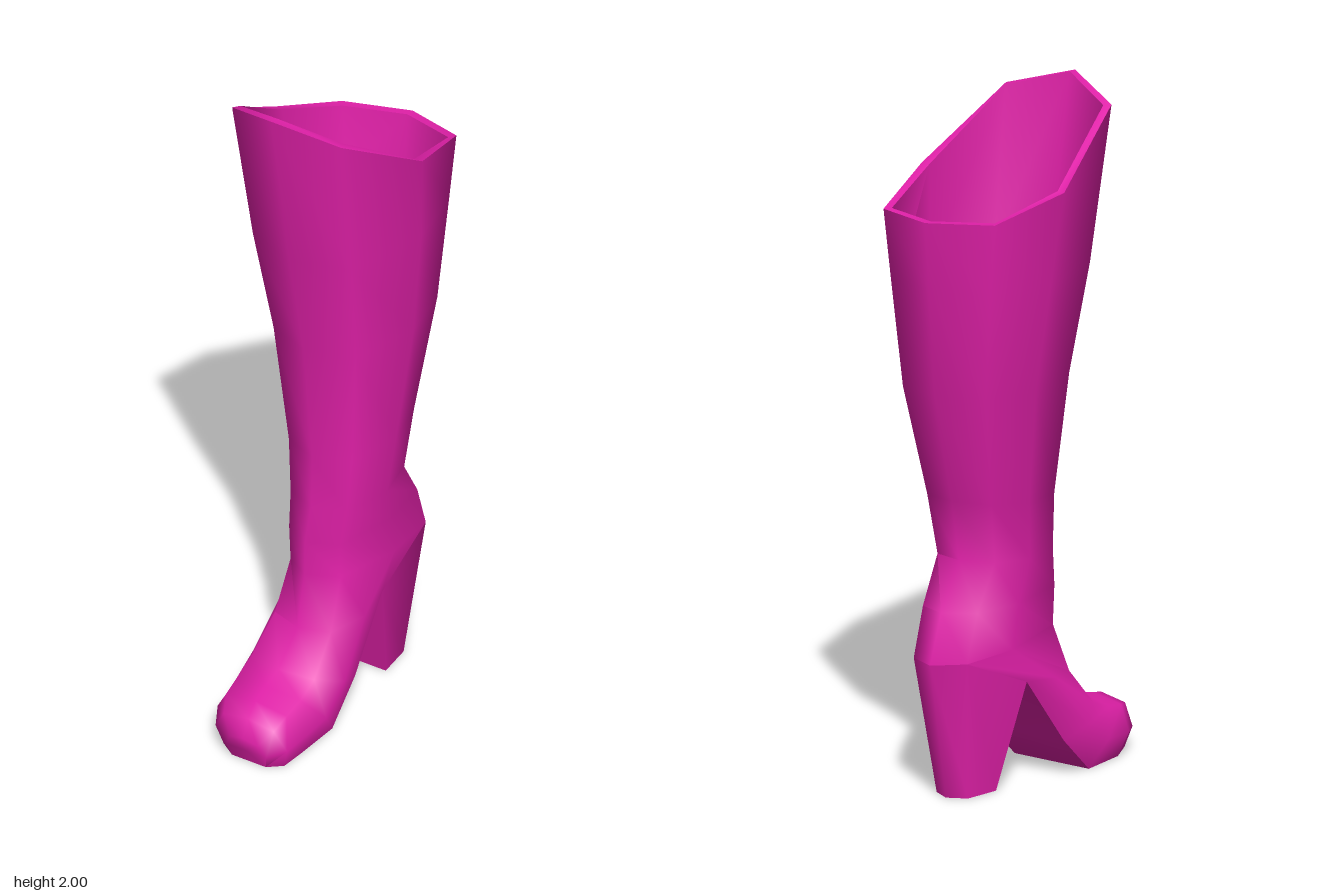
import * as THREE from 'three';
import { toCreasedNormals } from 'three/addons/utils/BufferGeometryUtils.js';

// Eight-sided section outlines: [u across -1..1, v from back/sole 0 to front/instep 1]
const LEG = [[-0.04, 1], [0.72, 0.895], [1, 0.44], [0.78, 0.06], [0.08, 0], [-0.66, 0.12], [-1, 0.44], [-0.76, 0.895]];
const FOOT = [[0, 1], [0.7, 0.89], [1, 0.45], [0.85, 0], [0, 0], [-0.85, 0], [-1, 0.45], [-0.7, 0.89]];

// A section spans xMin..xMax and runs from a back point to a front point, both [z, y]
function section(outline, xMin, xMax, front, back, bend = 1) {
  return outline.map(([u, v]) => new THREE.Vector3(
    THREE.MathUtils.lerp(xMin, xMax, (u + 1) / 2),
    THREE.MathUtils.lerp(back[1], front[1], Math.pow(v, bend)),
    THREE.MathUtils.lerp(back[0], front[0], v)));
}

function centre(ring) {
  return ring.reduce((sum, p) => sum.add(p), new THREE.Vector3()).divideScalar(ring.length);
}

// Skin through rings, optionally closing the last one; inward turns the faces round
function loft(rings, { cap = false, inward = false } = {}) {
  const pos = [];
  const tri = (a, b, c) => (inward ? [a, c, b] : [a, b, c]).forEach((p) => pos.push(p.x, p.y, p.z));
  const n = rings[0].length;
  for (let i = 0; i < rings.length - 1; i++) {
    for (let j = 0; j < n; j++) {
      const k = (j + 1) % n;
      const [a, b, c, d] = [rings[i][j], rings[i][k], rings[i + 1][k], rings[i + 1][j]];
      tri(a, d, c);
      tri(a, c, b);
    }
  }
  if (cap) {
    const end = rings[rings.length - 1];
    const mid = centre(end);
    end.forEach((p, j) => tri(mid, end[(j + 1) % n], p));
  }
  const geo = new THREE.BufferGeometry();
  geo.setAttribute('position', new THREE.Float32BufferAttribute(pos, 3));
  return toCreasedNormals(geo, 1.2);
}

// Pull a ring towards its centre by the thickness of the leather
function inset(ring, t, keepHeight) {
  const mid = centre(ring);
  return ring.map((p) => {
    const q = p.clone().add(mid.clone().sub(p).setLength(t));
    if (keepHeight) q.y = p.y;
    return q;
  });
}

export function createModel() {
  const boot = new THREE.Group();
  boot.name = 'boot';
  const leather = new THREE.MeshStandardMaterial({ color: 0xe020a8 });
  leather.name = 'magenta leather';

  const add = (name, geometry) => {
    const mesh = new THREE.Mesh(geometry, leather);
    mesh.name = name;
    boot.add(mesh);
  };

  // Shaft, from the slanted opening down to the heel seat
  const shaft = [
    section(LEG, -0.25, 0.25, [0.215, 2.0], [-0.44, 1.7], 1.8),
    section(LEG, -0.22, 0.232, [0.137, 1.5], [-0.417, 1.5]),
    section(LEG, -0.17, 0.205, [0.085, 1.18], [-0.38, 1.18]),
    section(LEG, -0.112, 0.177, [0.067, 0.82], [-0.285, 0.85]),
    section(LEG, -0.095, 0.163, [0.075, 0.66], [-0.25, 0.67]),
    section(LEG, -0.092, 0.145, [0.095, 0.55], [-0.345, 0.54]),
    section(LEG, -0.092, 0.137, [0.092, 0.44], [-0.4, 0.4]),
  ];
  // Foot, from the arch to the rounded toe
  const foot = [
    section(FOOT, -0.115, 0.155, [0.13, 0.285], [-0.12, 0.31]),
    section(FOOT, -0.142, 0.163, [0.21, 0.185], [0.02, 0.11]),
    section(FOOT, -0.138, 0.168, [0.28, 0.168], [0.14, 0]),
    section(FOOT, -0.125, 0.168, [0.34, 0.153], [0.29, 0]),
    section(FOOT, -0.08, 0.162, [0.405, 0.135], [0.375, 0]),
    section(FOOT, -0.02, 0.115, [0.44, 0.09], [0.41, 0]),
  ];
  add('upper', loft([...shaft, ...foot], { cap: true }));

  // Lining and the flat rim joining it to the upper
  const lining = [...shaft, ...foot.slice(0, 3)].map((ring, i) => inset(ring, 0.026, i === 0));
  add('lining', loft(lining, { cap: true, inward: true }));
  add('rim', loft([lining[0], shaft[0]]));

  // Tapered heel, hung from the back of the seat and the edge of the arch
  const seat = shaft[shaft.length - 1];
  const arch = foot[0];
  const heelTop = [arch[4], arch[3], seat[3], seat[4], seat[5], arch[5]];
  const heelTip = [[0.03, -0.19], [0.1, -0.19], [0.085, -0.3], [0.03, -0.33], [-0.025, -0.3], [-0.04, -0.19]]
    .map(([x, z]) => new THREE.Vector3(x, 0, z));
  add('heel', loft([heelTop, heelTip], { cap: true }));

  return boot;
}
